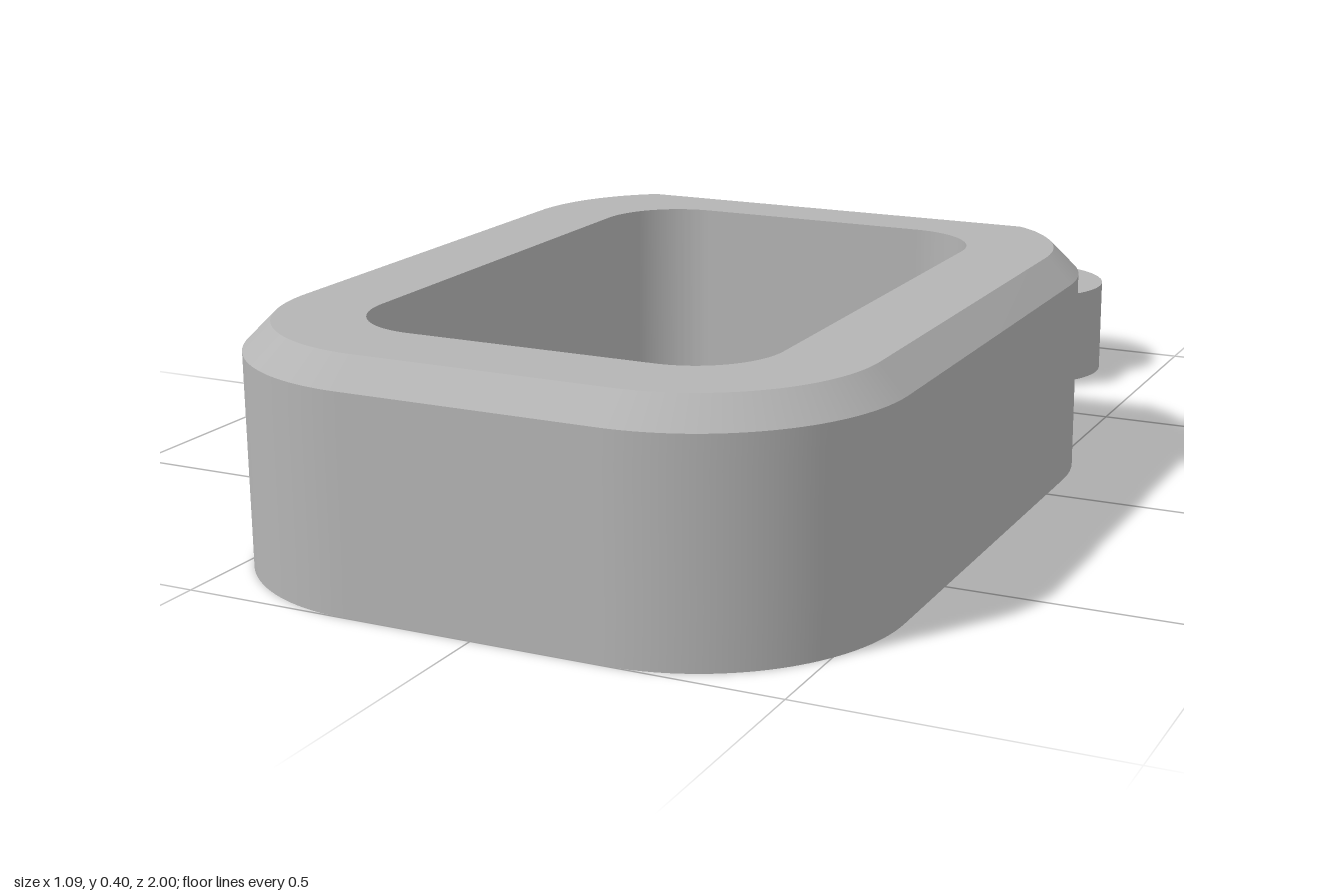
import * as THREE from 'three';
import { toCreasedNormals } from 'three/addons/utils/BufferGeometryUtils.js';

const SEG = 32; // steps per rounded corner

// Rounded rectangle as [x, z] points, counter-clockwise seen from above
function outline(halfWidth, back, front, r) {
  const points = [];
  const centres = [
    [halfWidth - r, back + r], [-halfWidth + r, back + r],
    [-halfWidth + r, front - r], [halfWidth - r, front - r],
  ];
  centres.forEach(([cx, cz], k) => {
    for (let i = 0; i <= SEG; i++) {
      const a = (k + i / SEG) * Math.PI / 2;
      points.push([cx + r * Math.cos(a), cz - r * Math.sin(a)]);
    }
  });
  return points;
}

// Skin a list of equal-length loops of Vector3, outward facing
function loft(loops) {
  const pos = [], ab = new THREE.Vector3(), ac = new THREE.Vector3();
  const tri = (a, b, c) => {
    ab.subVectors(b, a); ac.subVectors(c, a);
    if (ab.cross(ac).length() > 1e-9) for (const p of [a, b, c]) pos.push(p.x, p.y, p.z);
  };
  for (let l = 0; l + 1 < loops.length; l++) {
    const low = loops[l], up = loops[l + 1], n = low.length;
    for (let i = 0; i < n; i++) {
      const j = (i + 1) % n;
      tri(low[i], low[j], up[j]);
      tri(low[i], up[j], up[i]);
    }
  }
  const geo = new THREE.BufferGeometry();
  geo.setAttribute('position', new THREE.Float32BufferAttribute(pos, 3));
  return toCreasedNormals(geo, 0.15);
}

// Slanted notch behind the body: valley line, back wall and rising floor
const VALLEY_Z = -0.39, VALLEY_Y = 0.09;
const wallZ = (y) => VALLEY_Z + (y - VALLEY_Y) * 0.213;
const floorY = (z) => VALLEY_Y + Math.max(0, VALLEY_Z - z) * 0.205;

function bodyGeometry() {
  const outer = outline(0.545, -0.42, 1, 0.33);
  const rim = outline(0.5, -0.375, 0.955, 0.285);
  const cavity = outline(0.35, -0.22, 0.815, 0.14);
  const flat = (pts, y) => pts.map(([x, z]) => new THREE.Vector3(x, y, z));
  const cut = (pts, y) => pts.map(([x, z]) => new THREE.Vector3(x, y, Math.max(z, wallZ(y))));
  const centre = (y) => outer.map(() => new THREE.Vector3(0, y, 0.3));
  const loops = [centre(0), flat(outer, 0)];
  loops.push(outer.map(([x, z]) => new THREE.Vector3(x, floorY(z), z)));
  for (const y of [0.09, 0.142, 0.194, 0.246, 0.298, 0.35]) loops.push(cut(outer, y));
  loops.push(cut(rim, 0.395), flat(cavity, 0.395), flat(cavity, 0.05), centre(0.05));
  return loft(loops);
}

export function createModel() {
  const model = new THREE.Group();
  const grey = new THREE.MeshStandardMaterial({ color: 0xb4b4b4 });
  grey.name = 'grey';
  const add = (name, geo) => {
    const mesh = new THREE.Mesh(geo, grey);
    mesh.name = name;
    model.add(mesh);
    return mesh;
  };

  // Hollow tub with chamfered rim and slanted back
  add('body', bodyGeometry());

  // Neck: side profile (shape x = -z), extruded across the width
  const profile = new THREE.Shape([
    [0.41, 0], [0.65, 0], [0.65, 0.305], [0.55, 0.305], [0.585, 0.13], [0.41, floorY(-0.41)],
  ].map(([a, b]) => new THREE.Vector2(a, b)));
  const neck = new THREE.ExtrudeGeometry(profile, { depth: 0.6, bevelEnabled: false });
  neck.rotateY(Math.PI / 2).translate(-0.3, 0, 0);
  add('neck', neck);

  // Back of the neck with rounded upright corners (shape y = -z)
  const r = 0.075, back = new THREE.Shape();
  back.moveTo(-0.3, 0.65);
  back.lineTo(0.3, 0.65);
  back.absarc(0.3 - r, 0.73 - r, r, 0, Math.PI / 2);
  back.absarc(-0.3 + r, 0.73 - r, r, Math.PI / 2, Math.PI);
  const end = new THREE.ExtrudeGeometry(back, { depth: 0.305, bevelEnabled: false, curveSegments: 16 });
  end.rotateX(-Math.PI / 2);
  add('neckEnd', toCreasedNormals(end, 0.4));

  // Three round lobes at the tail
  for (const [name, x, z] of [['leftLobe', 0.235, -0.81], ['middleLobe', 0, -0.85], ['rightLobe', -0.235, -0.81]]) {
    add(name, new THREE.CylinderGeometry(0.15, 0.15, 0.18, 64)).position.set(x, 0.09, z);
  }
  return model;
}
